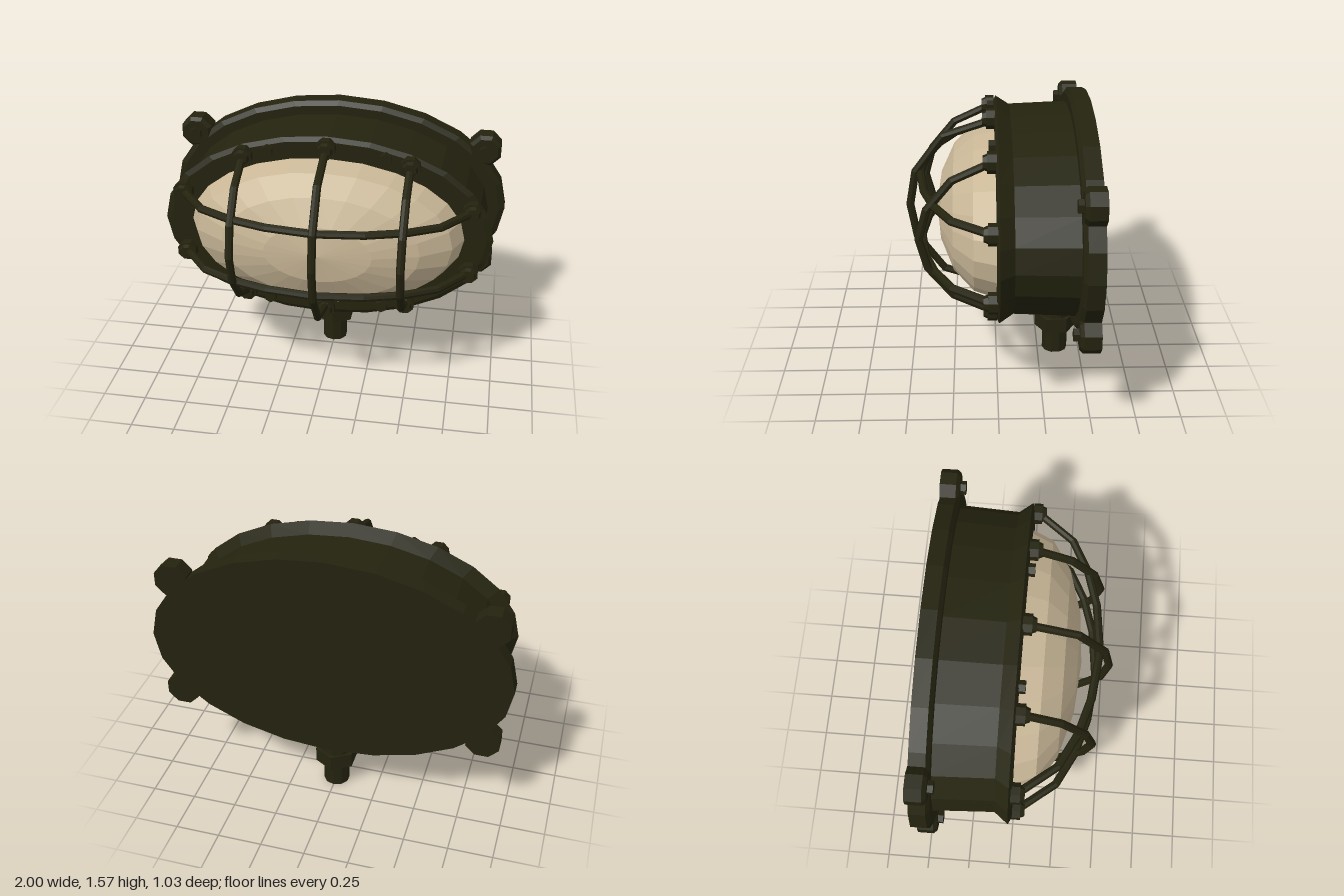
import * as THREE from 'three';

const CY = 0.957; // height of the lamp's centre
const SEG = 24;

// Shell through elliptical rings [a, b, z], listed front to back; skip(j, i) leaves a facet open
function ellipseShell(rings, skip = () => false) {
  const pos = [];
  const point = ([a, b, z], i) => {
    const t = (i / SEG) * Math.PI * 2;
    return [a * Math.cos(t), CY + b * Math.sin(t), z];
  };
  for (let j = 0; j < rings.length - 1; j++) {
    for (let i = 0; i < SEG; i++) {
      if (skip(j, i)) continue;
      const a = point(rings[j], i), b = point(rings[j], i + 1);
      const c = point(rings[j + 1], i + 1), d = point(rings[j + 1], i);
      if (rings[j + 1][0] > 0) pos.push(...a, ...d, ...c);
      else pos.push(...a, ...d, ...b);
      if (rings[j][0] > 0 && rings[j + 1][0] > 0) pos.push(...a, ...c, ...b);
    }
  }
  const g = new THREE.BufferGeometry();
  g.setAttribute('position', new THREE.Float32BufferAttribute(pos, 3));
  g.computeVertexNormals();
  return g;
}

// Tube with one straight length between each pair of points
function barGeometry(points, radius) {
  const curve = new THREE.CatmullRomCurve3(points);
  curve.getPointAt = (t, v) => curve.getPoint(t, v);
  curve.getTangentAt = (t, v) => curve.getTangent(t, v);
  return new THREE.TubeGeometry(curve, points.length - 1, radius, 8, false);
}

export function createModel() {
  const group = new THREE.Group();
  const metal = new THREE.MeshStandardMaterial({ color: 0x24230f, flatShading: true, side: THREE.DoubleSide });
  const glass = new THREE.MeshStandardMaterial({ color: 0xc9b797, flatShading: true, side: THREE.DoubleSide });

  const add = (name, geometry, material = metal) => {
    const mesh = new THREE.Mesh(geometry, material);
    mesh.name = name;
    group.add(mesh);
    return mesh;
  };
  // Prism along z from z0 to z1
  const stud = (name, x, y, z0, z1, r0, r1, sides) => {
    const g = new THREE.CylinderGeometry(r1, r0, z1 - z0, sides);
    if (sides === 8) g.rotateY(Math.PI / 8);
    g.rotateX(Math.PI / 2);
    add(name, g).position.set(x, y, (z0 + z1) / 2);
  };

  // Housing with flared front rim and one open facet underneath
  add('housing', ellipseShell([
    [0.785, 0.442, 0.0], [0.785, 0.442, 0.01], [0.91, 0.542, 0.01], [0.945, 0.567, -0.005],
    [0.885, 0.52, -0.08], [0.902, 0.535, -0.42],
  ], (j, i) => j === 4 && i === 19));

  // Back plate with bevelled front edge
  add('backPlate', ellipseShell([
    [0.89, 0.525, -0.41], [0.968, 0.587, -0.41], [1, 0.613, -0.43], [1, 0.613, -0.52], [0, 0, -0.52],
  ]));

  // Glass dome
  const dome = [];
  for (let k = 0; k <= 4; k++) {
    const t = (k / 4) * Math.PI / 2;
    dome.push([0.785 * Math.sin(t), 0.442 * Math.sin(t), 0.335 * Math.cos(t)]);
  }
  add('glassDome', ellipseShell(dome), glass);

  // Mounting lugs with bolts, and rim screws
  for (const sx of [-1, 1]) {
    for (const sy of [-1, 1]) {
      const x = sx * 0.86, y = CY + sy * 0.36;
      stud('mountingLug', x, y, -0.52, -0.43, 0.098, 0.098, 8);
      stud('lugBevel', x, y, -0.43, -0.41, 0.098, 0.078, 8);
      stud('lugBolt', x, y, -0.41, -0.38, 0.038, 0.038, 6);
      stud('rimScrew', sx * 0.33, CY + sy * 0.47, 0.005, 0.045, 0.036, 0.036, 6);
    }
  }

  // Guard bars: half profile [distance from middle, z], mirrored
  const mirrored = (half) => [...half, ...half.slice(0, -1).reverse().map(([d, z]) => [-d, z])];
  const foot = (x, y) => {
    stud('barFoot', x, y, 0.005, 0.055, 0.058, 0.058, 8);
    stud('barFootCap', x, y, 0.055, 0.078, 0.046, 0.036, 8);
  };
  const centre = mirrored([[0.5, 0.03], [0.485, 0.075], [0.41, 0.3], [0.2, 0.455], [0, 0.49]]);
  const side = mirrored([[0.43, 0.03], [0.415, 0.07], [0.335, 0.24], [0.17, 0.375], [0, 0.42]]);
  const across = mirrored([[0.82, 0.03], [0.79, 0.075], [0.66, 0.24], [0.475, 0.335], [0.27, 0.395], [0, 0.425]]);

  for (const [x, path, end] of [[-0.467, side, 0.435], [0, centre, 0.51], [0.467, side, 0.435]]) {
    add('verticalBar', barGeometry(path.map(([d, z]) => new THREE.Vector3(x, CY + d, z)), 0.023));
    for (const s of [-1, 1]) foot(x, CY + s * end);
  }
  for (const dy of [-0.193, 0.193]) {
    add('horizontalBar', barGeometry(across.map(([d, z]) => new THREE.Vector3(d, CY + dy, z)), 0.023));
    for (const s of [-1, 1]) foot(s * 0.82, CY + dy);
  }

  // Cable gland under the housing
  const gland = (name, r0, r1, y0, y1, sides) =>
    add(name, new THREE.CylinderGeometry(r1, r0, y1 - y0, sides)).position.set(0, (y0 + y1) / 2, -0.355);
  gland('cablePipe', 0.075, 0.075, 0, 0.16, 10);
  gland('glandNut', 0.123, 0.123, 0.155, 0.245, 6);
  gland('glandNeck', 0.1, 0.09, 0.245, 0.38, 10);

  return group;
}
